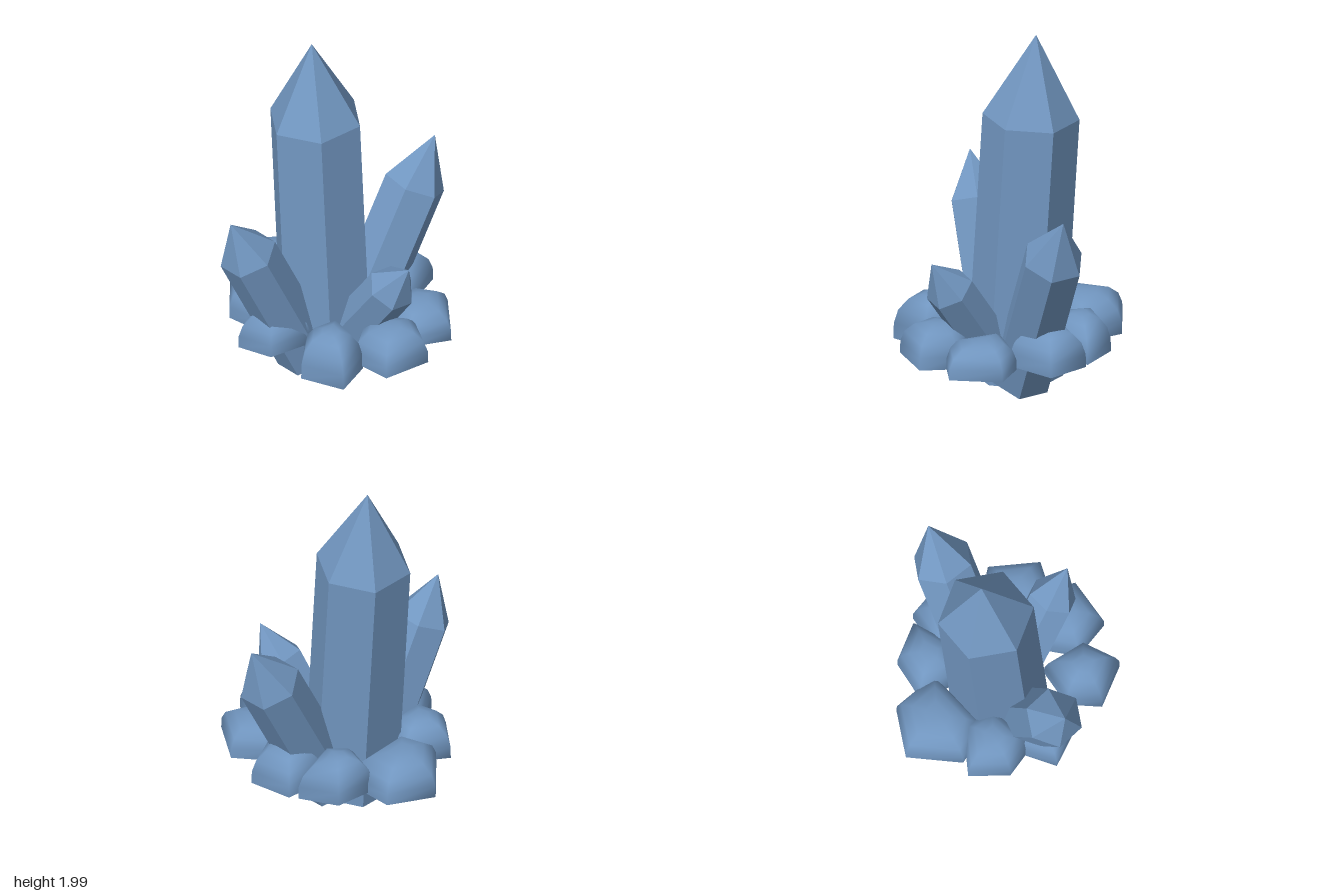
import * as THREE from 'three';

const V = (x, y, z) => new THREE.Vector3(x, y, z);

// Six-sided crystal: prism from base to shoulder, then a pointed tip, flat-faced
function crystalGeometry(base, shoulder, apex, radius, turn) {
  const body = shoulder.distanceTo(base);
  const total = apex.distanceTo(base);
  const profile = [[0, 0], [radius, 0], [radius, body], [0, total]].map(([x, y]) => new THREE.Vector2(x, y));
  const indexed = new THREE.LatheGeometry(profile, 6, turn);
  const geometry = indexed.toNonIndexed();
  geometry.computeVertexNormals();
  const axis = apex.clone().sub(base).normalize();
  geometry.applyQuaternion(new THREE.Quaternion().setFromUnitVectors(V(0, 1, 0), axis));
  geometry.translate(base.x, base.y, base.z);
  return geometry;
}

// Smooth dome rising from a five-cornered rim; [inset scale, height] per ring
const DOME = [[1, 0], [0.99, 0.36], [0.88, 0.66], [0.62, 0.9], [0.3, 0.99]];

function rockGeometry(rim, bottom, top) {
  const n = rim.length;
  const cx = rim.reduce((sum, p) => sum + p[0], 0) / n;
  const cz = rim.reduce((sum, p) => sum + p[1], 0) / n;
  const positions = [];
  const index = [];
  for (const [scale, height] of DOME) {
    for (const [x, z] of rim) {
      positions.push(cx + (x - cx) * scale, bottom + (top - bottom) * height, cz + (z - cz) * scale);
    }
  }
  const peak = positions.length / 3;
  positions.push(cx, top, cz);
  for (let r = 0; r < DOME.length; r++) {
    for (let i = 0; i < n; i++) {
      const a = r * n + i;
      const b = r * n + (i + 1) % n;
      if (r === DOME.length - 1) index.push(a, b, peak);
      else index.push(a, b, b + n, a, b + n, a + n);
    }
  }
  const geometry = new THREE.BufferGeometry();
  geometry.setAttribute('position', new THREE.Float32BufferAttribute(positions, 3));
  geometry.setIndex(index);
  geometry.computeVertexNormals();
  // Underside fan shares the rim corners
  for (let i = 1; i < n - 1; i++) index.push(0, i + 1, i);
  geometry.setIndex(index);
  return geometry;
}

export function createModel() {
  const model = new THREE.Group();
  model.name = 'crystalCluster';
  const blue = new THREE.MeshStandardMaterial({ color: 0x7196c0 });
  blue.name = 'dustyBlue';

  const add = (name, geometry) => {
    const mesh = new THREE.Mesh(geometry, blue);
    mesh.name = name;
    model.add(mesh);
  };

  // Crystals: one tall, one leaning to each side, a small one at the front
  add('mainCrystal', crystalGeometry(V(-0.03, 0.04, -0.015), V(-0.03, 1.525, -0.112), V(-0.03, 2, -0.143), 0.263, Math.PI / 6));
  add('rightCrystal', crystalGeometry(V(-0.175, 0.07, -0.01), V(-0.535, 0.87, -0.05), V(-0.645, 1.11, -0.06), 0.162, 0.08));
  add('leftCrystal', crystalGeometry(V(0.11, 0.075, 0.02), V(0.53, 0.925, 0.04), V(0.66, 1.19, 0.05), 0.172, 0.02));
  add('frontCrystal', crystalGeometry(V(0.005, 0.165, 0.11), V(0.065, 0.655, 0.435), V(0.095, 0.835, 0.56), 0.136, Math.PI / 6));

  // Ring of rounded rocks: rim corners [x, z], bottom and top heights
  const rocks = [
    ['backRock', [[-0.18, -0.25], [0.22, -0.27], [0.21, -0.54], [-0.03, -0.67], [-0.25, -0.45]], 0.25, 0.45],
    ['backLeftRock', [[0.25, -0.07], [0.52, -0.17], [0.41, -0.37], [0.18, -0.4], [0.12, -0.2]], 0.26, 0.47],
    ['backRightRock', [[-0.42, -0.12], [-0.13, -0.15], [-0.12, -0.34], [-0.33, -0.48], [-0.47, -0.3]], 0.26, 0.46],
    ['frontRightRock', [[-0.35, 0.56], [-0.15, 0.47], [-0.12, 0.22], [-0.34, 0.2], [-0.47, 0.34]], 0.23, 0.48],
    ['frontRock', [[-0.12, 0.64], [0.15, 0.66], [0.23, 0.46], [0.03, 0.25], [-0.17, 0.42]], 0.25, 0.45],
    ['frontLeftRock', [[0.36, 0.59], [0.52, 0.35], [0.4, 0.2], [0.17, 0.16], [0.14, 0.5]], 0.26, 0.43],
    ['leftRock', [[0.36, 0.22], [0.61, 0.1], [0.56, -0.14], [0.33, -0.16], [0.2, 0.05]], 0.27, 0.48],
    ['rightRock', [[-0.5, 0.11], [-0.25, 0.14], [-0.2, -0.08], [-0.37, -0.2], [-0.585, -0.07]], 0.25, 0.45],
  ];
  for (const [name, rim, bottom, top] of rocks) add(name, rockGeometry(rim, bottom, top));

  return model;
}
